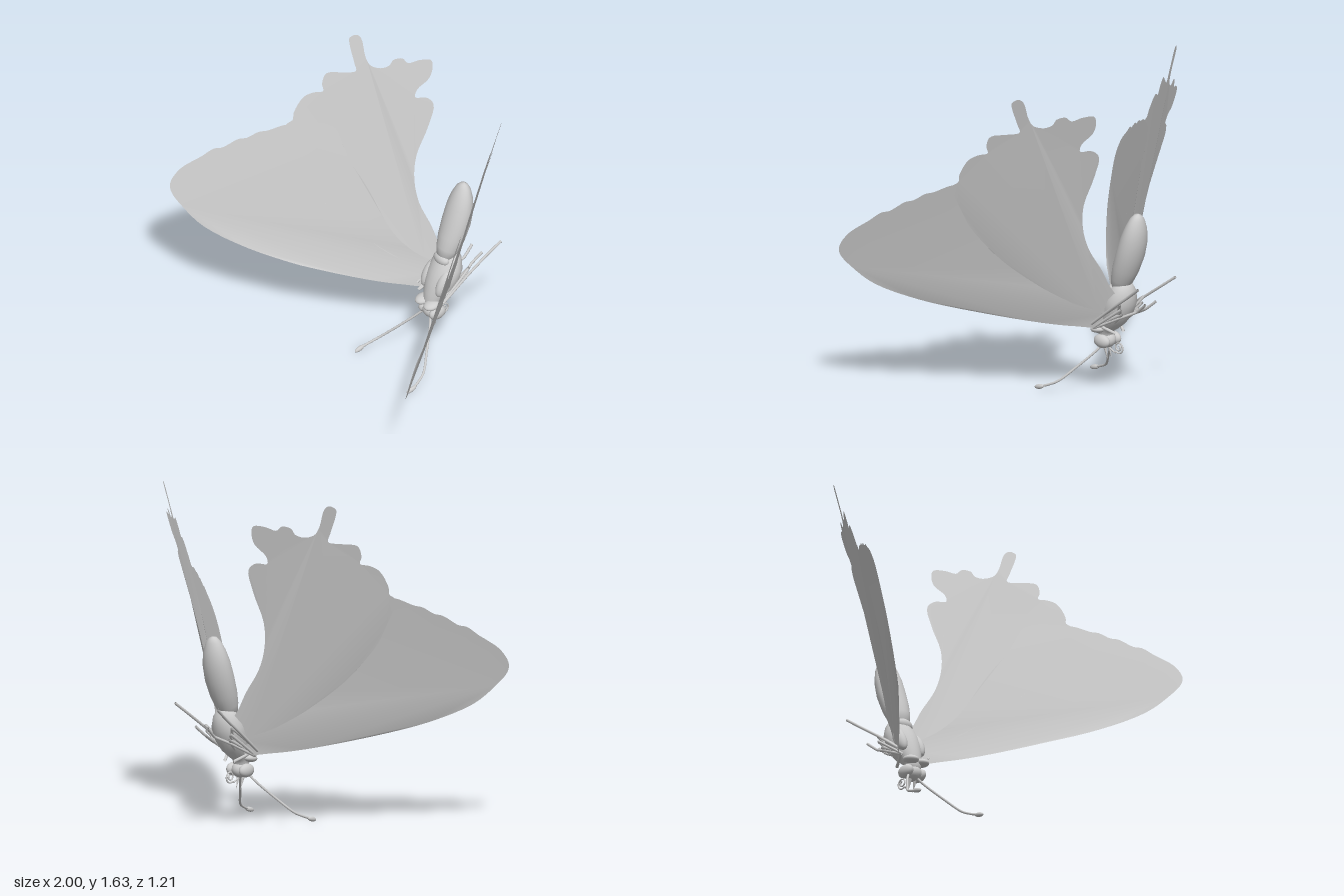
import * as THREE from 'three';

const CX = 0.022; // body centre line
const gray = new THREE.MeshStandardMaterial({ color: 0xcccccc, side: THREE.DoubleSide });
gray.name = 'paleGray';

// Wing outlines as [x, y]; depth follows from the wing plane
const FOREWING = [
  [0.09, 0.354], [0.17, 0.354], [0.275, 0.37], [0.49, 0.428], [0.675, 0.493], [0.84, 0.584],
  [0.935, 0.68], [0.987, 0.75], [1.0, 0.8], [0.985, 0.87], [0.955, 0.915], [0.935, 0.94],
  [0.905, 0.985], [0.88, 0.995], [0.84, 1.045], [0.815, 1.055], [0.785, 1.09], [0.76, 1.1],
  [0.715, 1.135], [0.66, 1.153], [0.6, 1.162], [0.55, 1.14], [0.52, 1.09], [0.47, 0.99],
  [0.38, 0.85], [0.25, 0.62], [0.17, 0.53], [0.07, 0.45],
];
const HINDWING = [
  [0.08, 0.41], [0.12, 0.44], [0.22, 0.49], [0.35, 0.6], [0.46, 0.71], [0.544, 0.816],
  [0.61, 0.91], [0.65, 0.99], [0.69, 1.07], [0.712, 1.135], [0.698, 1.16], [0.703, 1.2],
  [0.69, 1.285], [0.665, 1.31], [0.638, 1.32], [0.65, 1.36], [0.647, 1.415], [0.6, 1.425],
  [0.56, 1.435], [0.575, 1.48], [0.613, 1.575], [0.619, 1.605], [0.603, 1.622], [0.585, 1.61],
  [0.545, 1.51], [0.52, 1.472], [0.485, 1.462], [0.462, 1.478], [0.455, 1.51], [0.43, 1.522],
  [0.405, 1.5], [0.375, 1.52], [0.34, 1.527], [0.325, 1.495], [0.322, 1.43], [0.345, 1.37],
  [0.34, 1.328], [0.308, 1.333], [0.277, 1.305], [0.266, 1.19], [0.27, 1.03], [0.25, 0.905],
  [0.21, 0.785], [0.15, 0.67], [0.11, 0.58], [0.07, 0.5],
];

function wingGeometry(outline, lift) {
  const curve = new THREE.CatmullRomCurve3(
    outline.map(([x, y]) => new THREE.Vector3(x, y, 0)), true, 'centripetal');
  const pts = curve.getPoints(outline.length * 4).slice(0, -1);
  const geo = new THREE.ShapeGeometry(new THREE.Shape(pts.map(p => new THREE.Vector2(p.x, p.y))));
  const pos = geo.attributes.position;
  for (let i = 0; i < pos.count; i++) {
    const x = pos.getX(i), y = pos.getY(i);
    const rootBend = 0.09 * Math.max(0, 1 - x / 0.5) * Math.max(0, 1.2 - y);
    pos.setZ(i, -0.205 + 1.14 * x - 0.423 * y - rootBend + lift);
  }
  geo.computeVertexNormals();
  return geo;
}

// Opposite wing: mirrored and turned back very slightly
const MIRROR_WING = new THREE.Matrix4().set(
  -1.074, 0.043, 0, 0.04,
  0.015, 1, 0, 0,
  -0.06, 0, 1, 0,
  0, 0, 0, 1);

// Skin over elliptical rings [y, z, half width, half depth] along the body
function loft(rings, sides = 24) {
  const curve = new THREE.CatmullRomCurve3(rings.map(r => new THREE.Vector3(CX, r[0], r[1])));
  const X = new THREE.Vector3(1, 0, 0), pos = [], idx = [];
  rings.forEach((r, i) => {
    const t = curve.getTangent(i / (rings.length - 1));
    const n = t.cross(X).normalize();
    for (let s = 0; s < sides; s++) {
      const a = (s / sides) * Math.PI * 2;
      pos.push(CX + r[2] * Math.cos(a), r[0] + n.y * r[3] * Math.sin(a), r[1] + n.z * r[3] * Math.sin(a));
      if (i === 0) continue;
      const p = (i - 1) * sides, s2 = (s + 1) % sides;
      idx.push(p + s, p + s2, p + sides + s2, p + s, p + sides + s2, p + sides + s);
    }
  });
  const geo = new THREE.BufferGeometry();
  geo.setAttribute('position', new THREE.Float32BufferAttribute(pos, 3));
  geo.setIndex(idx);
  geo.computeVertexNormals();
  return geo;
}

export function createModel() {
  const model = new THREE.Group();
  model.name = 'butterfly';
  const add = (name, geo) => {
    const mesh = new THREE.Mesh(geo, gray);
    mesh.name = name;
    model.add(mesh);
    return mesh;
  };
  const blob = (name, x, y, z, rx, ry, rz, tilt = 0) => {
    const m = add(name, new THREE.SphereGeometry(1, 20, 14));
    m.position.set(x, y, z);
    m.scale.set(rx, ry, rz);
    m.rotation.x = tilt;
  };
  const tube = (name, pts, r, tension = 0.5) => add(name, new THREE.TubeGeometry(
    new THREE.CatmullRomCurve3(pts.map(p => new THREE.Vector3(...p)), false, 'catmullrom', tension),
    pts.length * 10, r, 8));

  // Wings: forewing lies over the inner face of the hindwing
  for (const [name, outline, lift] of [['Forewing', FOREWING, 0.005], ['Hindwing', HINDWING, -0.005]]) {
    const geo = wingGeometry(outline, lift);
    add('left' + name, geo);
    const other = geo.clone().applyMatrix4(MIRROR_WING);
    other.computeVertexNormals();
    add('right' + name, other);
  }

  // Body
  add('abdomen', loft([
    [0.545, -0.355, 0.001, 0.001], [0.555, -0.36, 0.045, 0.04], [0.6, -0.378, 0.06, 0.054],
    [0.66, -0.402, 0.072, 0.063], [0.74, -0.432, 0.078, 0.066], [0.82, -0.455, 0.074, 0.062],
    [0.88, -0.468, 0.06, 0.049], [0.925, -0.476, 0.04, 0.033], [0.945, -0.48, 0.02, 0.018],
    [0.952, -0.482, 0.001, 0.001],
  ]));
  add('thorax', loft([
    [0.59, -0.385, 0.001, 0.001], [0.58, -0.384, 0.045, 0.04], [0.545, -0.385, 0.065, 0.062],
    [0.5, -0.375, 0.084, 0.074], [0.45, -0.352, 0.086, 0.078], [0.4, -0.322, 0.075, 0.07],
    [0.355, -0.293, 0.058, 0.052], [0.325, -0.278, 0.045, 0.038], [0.3, -0.275, 0.042, 0.036],
    [0.27, -0.275, 0.03, 0.03], [0.26, -0.275, 0.001, 0.001],
  ]));
  blob('scutellum', CX, 0.55, -0.342, 0.052, 0.032, 0.03, -0.3);
  blob('head', CX, 0.268, -0.28, 0.046, 0.04, 0.045);

  // Coiled tongue
  const coil = [[CX, 0.225, -0.3], [CX, 0.21, -0.33]];
  for (let i = 0; i <= 16; i++) {
    const a = -2.2 + i * 0.62, r = 0.031 - i * 0.0014;
    coil.push([CX, 0.24 + r * Math.sin(a), -0.355 - r * Math.cos(a)]);
  }
  tube('tongue', coil, 0.004);

  // Paired parts
  for (const [side, s] of [['left', 1], ['right', -1]]) {
    const X = d => CX + s * d;
    blob(side + 'Eye', X(0.042), 0.268, -0.283, 0.026, 0.034, 0.048);
    blob(side + 'Collar', X(0.034), 0.325, -0.255, 0.036, 0.02, 0.045, 0.15);
    blob(side + 'Shoulder', X(0.058), 0.445, -0.31, 0.03, 0.075, 0.035, -0.5);

    const palp = add(side + 'Palp', new THREE.ConeGeometry(0.012, 0.085, 10));
    palp.position.set(X(0.015), 0.212, -0.285);
    palp.rotation.x = Math.PI + 0.25;

    const A = d => 0.006 + s * d;
    tube(side + 'Antenna', [
      [A(0.025), 0.245, -0.265], [A(0.06), 0.2, -0.235], [A(0.12), 0.125, -0.17],
      [A(0.175), 0.06, -0.11], [A(0.197), 0.033, -0.06], [A(0.206), 0.019, -0.02], [A(0.208), 0.014, 0.005],
    ], 0.006);
    blob(side + 'AntennaClub', A(0.207), 0.014, -0.008, 0.011, 0.012, 0.03, 0.25);

    // Folded legs
    tube(side + 'HindLeg', [
      [X(0.04), 0.4, -0.37], [X(0.09), 0.5, -0.44], [X(0.1), 0.42, -0.33], [X(0.105), 0.37, -0.27],
      [X(0.115), 0.48, -0.41], [X(0.125), 0.56, -0.52], [X(0.14), 0.62, -0.6],
    ], 0.007, 0.15);
    tube(side + 'MiddleLeg', [
      [X(0.04), 0.37, -0.35], [X(0.08), 0.47, -0.44], [X(0.085), 0.34, -0.26],
      [X(0.06), 0.42, -0.42], [X(0.03), 0.46, -0.5], [X(0.04), 0.51, -0.56],
    ], 0.007, 0.15);
    tube(side + 'FrontLeg', [
      [X(0.03), 0.34, -0.32], [X(0.065), 0.44, -0.43], [X(0.07), 0.36, -0.29], [X(0.03), 0.32, -0.36],
    ], 0.008, 0.15);
  }
  return model;
}
